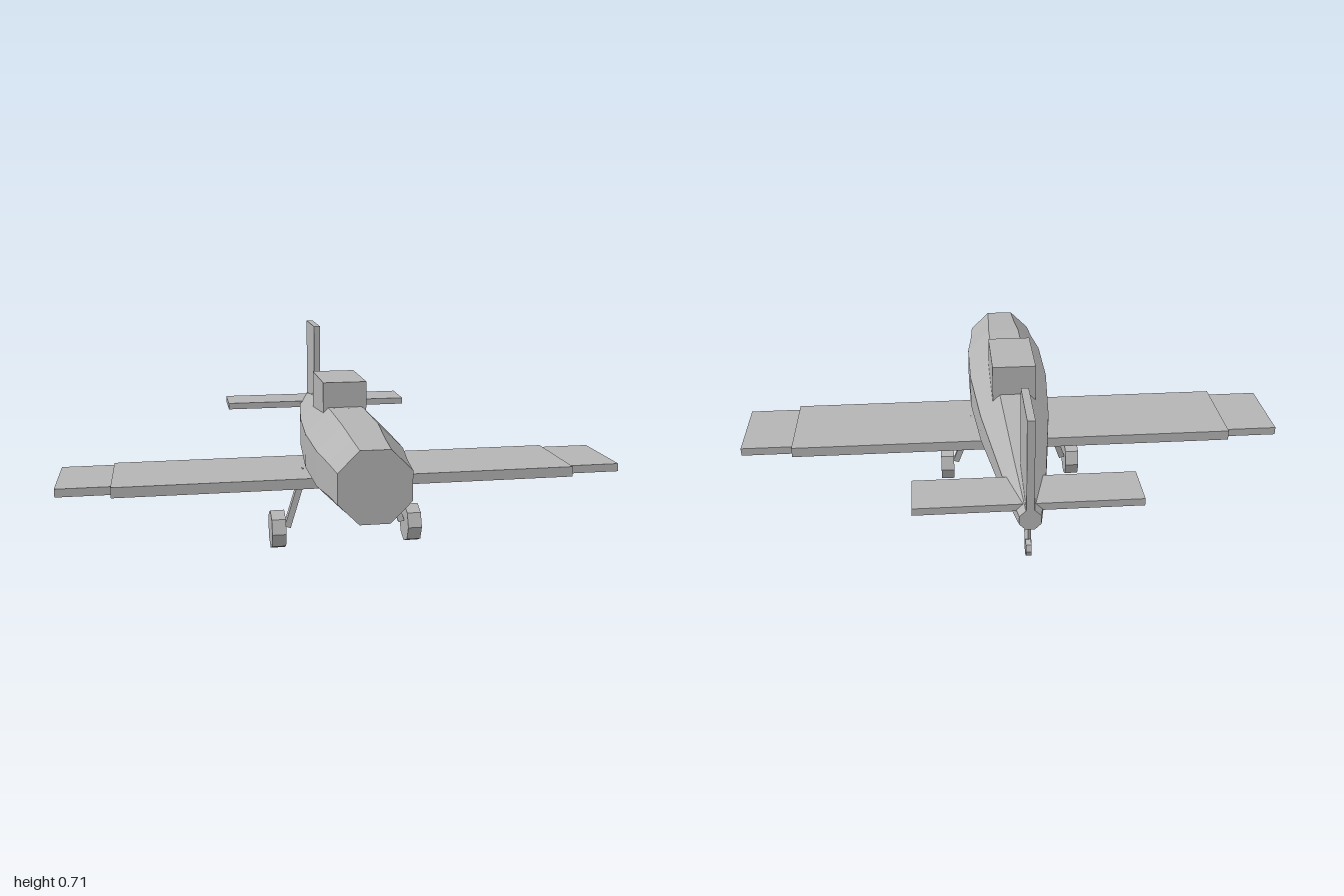
import * as THREE from 'three';

export function createModel() {
  const plane = new THREE.Group();
  plane.name = 'airplane';
  const grey = new THREE.MeshStandardMaterial({ color: 0xb4b4b4 });
  grey.name = 'plain grey';
  grey.flatShading = true;

  const add = (name, geometry) => {
    const mesh = new THREE.Mesh(geometry, grey);
    mesh.name = name;
    plane.add(mesh);
    return mesh;
  };
  // Box given by its lower and upper limits
  const box = (name, x0, x1, y0, y1, z0, z1) =>
    add(name, new THREE.BoxGeometry(x1 - x0, y1 - y0, z1 - z0))
      .position.set((x0 + x1) / 2, (y0 + y1) / 2, (z0 + z1) / 2);
  // Four-sided leg between two points
  const leg = (name, from, to, radius) => {
    const a = new THREE.Vector3(...from), b = new THREE.Vector3(...to);
    const mesh = add(name, new THREE.CylinderGeometry(radius, radius, a.distanceTo(b), 4));
    mesh.position.copy(a).add(b).multiplyScalar(0.5);
    mesh.quaternion.setFromUnitVectors(new THREE.Vector3(0, 1, 0), b.sub(a).normalize());
  };
  // Eight-sided wheel with its axle along x
  const wheel = (name, x, y, z, radius, width) =>
    add(name, new THREE.CylinderGeometry(radius, radius, width, 8).rotateZ(Math.PI / 2))
      .position.set(x, y, z);

  // Octagonal fuselage, half height at each station from tail to nose
  const stations = [
    [-0.7, 0.035], [-0.48, 0.073], [-0.1, 0.123], [0.2, 0.146],
    [0.45, 0.144], [0.59, 0.127], [0.7, 0.118],
  ];
  const profile = stations.map(([z, r]) => new THREE.Vector2(r / Math.cos(Math.PI / 8), z));
  profile.unshift(new THREE.Vector2(0, -0.7));
  profile.push(new THREE.Vector2(0, 0.7));
  add('fuselage', new THREE.LatheGeometry(profile, 8, Math.PI / 8).rotateX(Math.PI / 2))
    .position.y = 0.362;

  // Canopy, wing and tail surfaces
  box('canopy', -0.077, 0.077, 0.4, 0.595, -0.082, 0.168);
  box('wing', -0.815, 0.815, 0.245, 0.282, -0.051, 0.281);
  box('tailplane', -0.367, 0.367, 0.375, 0.4, -0.665, -0.5);
  box('fin', -0.0125, 0.0125, 0.38, 0.713, -0.7, -0.483);

  // Wing tips and main landing gear on both sides
  for (const [side, s] of [['left', 1], ['right', -1]]) {
    box(side + 'WingTip', s > 0 ? 0.815 : -1, s > 0 ? 1 : -0.815, 0.25, 0.279, -0.034, 0.257);
    leg(side + 'GearLeg', [s * 0.14, 0.28, 0.135], [s * 0.21, 0.075, 0.168], 0.016);
    wheel(side + 'Wheel', s * 0.245, 0.07, 0.17, 0.07, 0.05);
  }

  // Tail wheel
  leg('tailWheelLeg', [0, 0.268, -0.611], [0, 0.213, -0.632], 0.011);
  wheel('tailWheel', 0, 0.213, -0.632, 0.029, 0.018);
  return plane;
}
